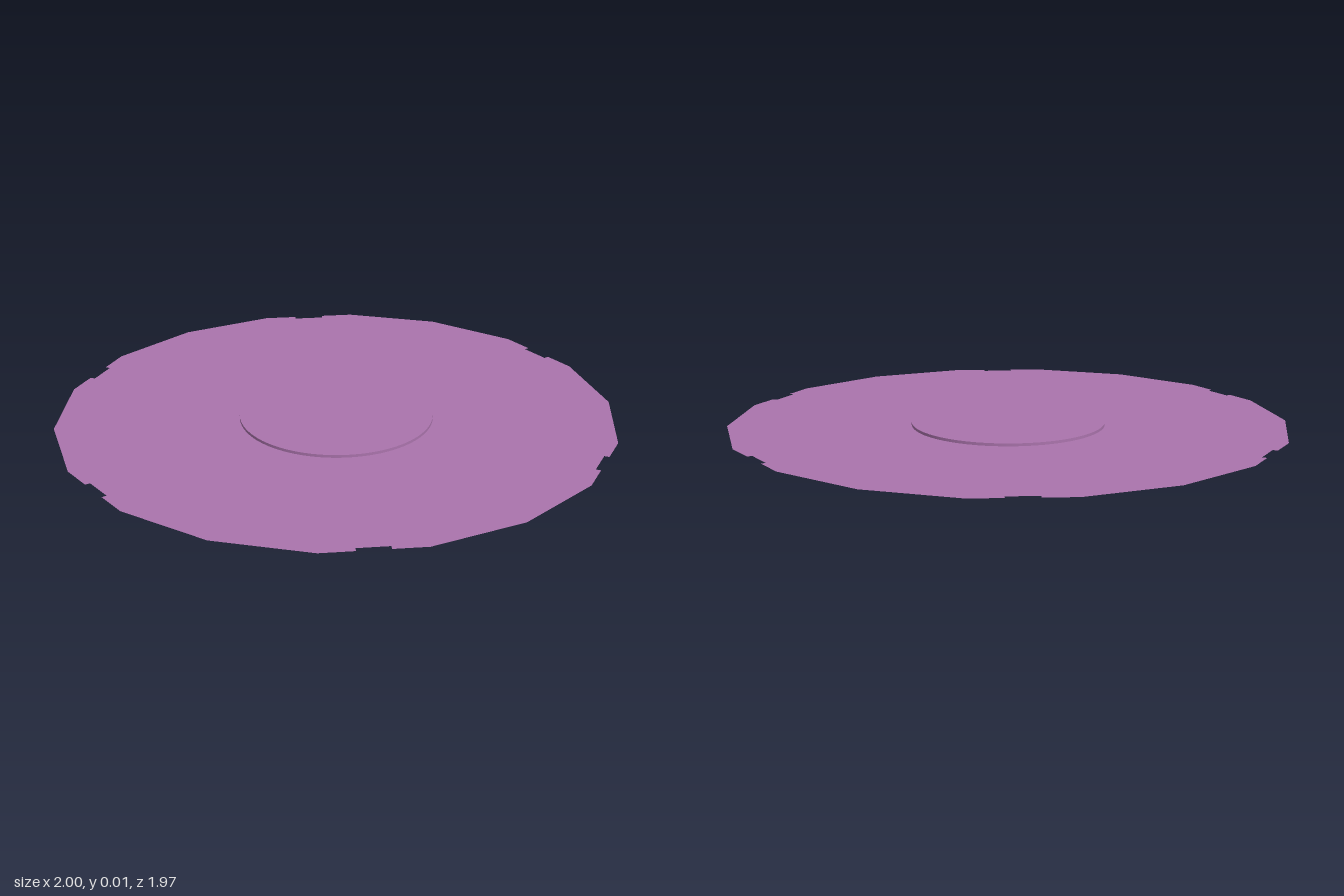
import * as THREE from 'three';

const SIDES = 18, HUB_RADIUS = 0.345, HUB_HEIGHT = 0.01;
const NOTCH_HALF = 0.055, NOTCH_DEPTH = 0.018;

// 18-sided outline with a small notch in the middle of every third edge
function plateShape() {
  const step = (Math.PI * 2) / SIDES;
  const apothem = Math.cos(step / 2);
  const points = [];
  for (let i = 0; i < SIDES; i++) {
    const a = i * step, mid = a + step / 2;
    points.push(new THREE.Vector2(Math.cos(a), Math.sin(a)));
    if (i % 3 !== 1) continue;
    const inner = apothem - NOTCH_DEPTH;
    for (const [r, t] of [[apothem, -NOTCH_HALF], [inner, -NOTCH_HALF], [inner, NOTCH_HALF], [apothem, NOTCH_HALF]]) {
      points.push(new THREE.Vector2(r, t).rotateAround(new THREE.Vector2(), mid));
    }
  }
  const shape = new THREE.Shape(points);
  shape.holes.push(new THREE.Path().absarc(0, 0, HUB_RADIUS, 0, Math.PI * 2, true));
  return shape;
}

export function createModel() {
  const group = new THREE.Group();
  const material = new THREE.MeshStandardMaterial({ color: 0xab74ad, side: THREE.DoubleSide });
  const add = (name, geometry, y = 0) => {
    const mesh = new THREE.Mesh(geometry, material);
    mesh.name = name;
    mesh.position.y = y;
    group.add(mesh);
  };

  // Thin notched sheet, open under the raised centre
  add('plate', new THREE.ShapeGeometry(plateShape(), 32).rotateX(-Math.PI / 2));

  // Shallow raised round centre: wall and cap
  add('hubWall', new THREE.CylinderGeometry(HUB_RADIUS, HUB_RADIUS, HUB_HEIGHT, 64, 1, true), HUB_HEIGHT / 2);
  add('hubTop', new THREE.CircleGeometry(HUB_RADIUS, 64).rotateX(-Math.PI / 2), HUB_HEIGHT);

  return group;
}
